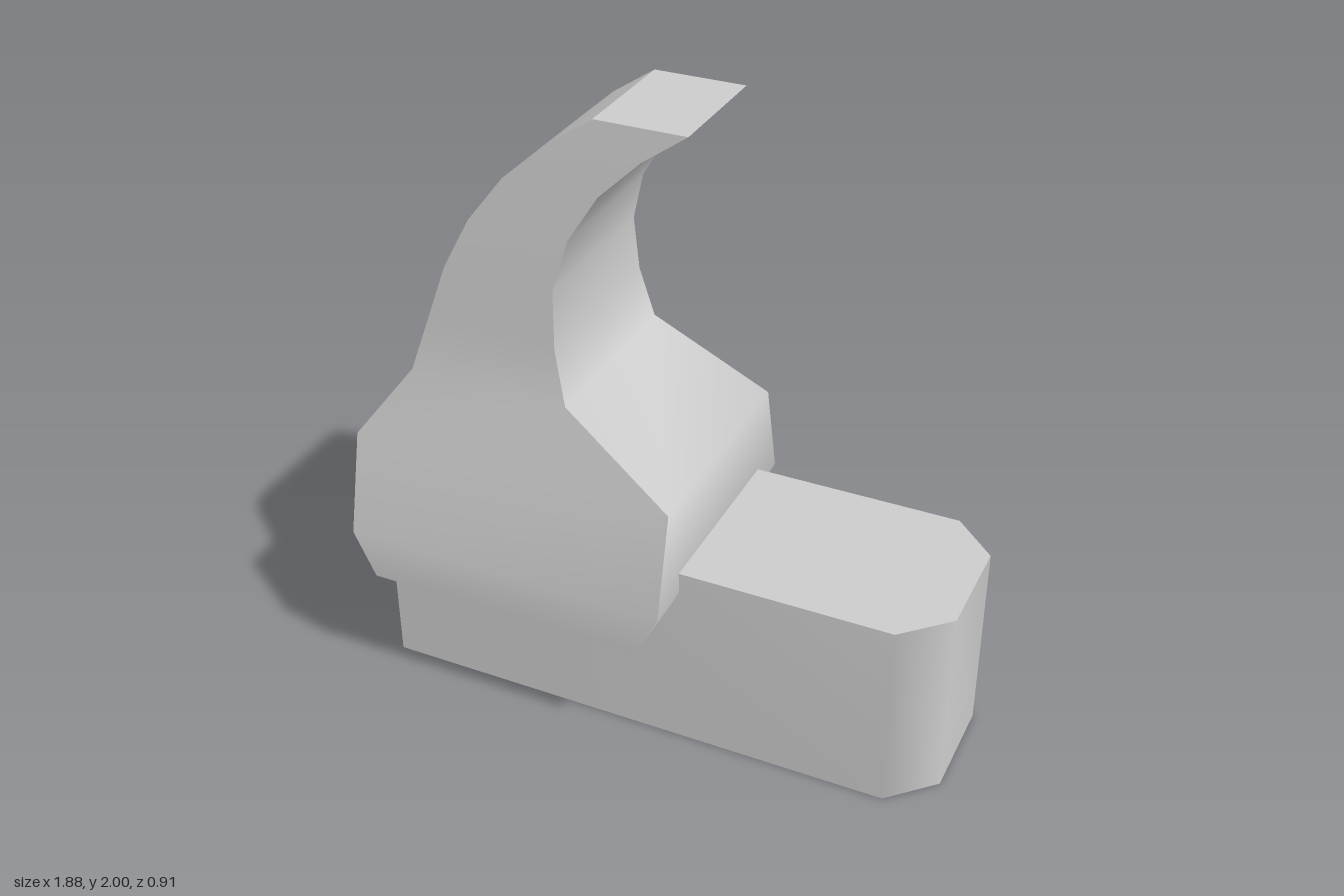
import * as THREE from 'three';

const grey = new THREE.MeshStandardMaterial({ color: 0xcccccc, side: THREE.DoubleSide });
grey.name = 'plain grey';

// Smoothly shaded band of quads between two matching polylines
function strip(name, a, b) {
  const positions = [], index = [];
  a.forEach((p, i) => {
    positions.push(...p, ...b[i]);
    if (i < a.length - 1) {
      const k = i * 2;
      index.push(k, k + 1, k + 3, k, k + 3, k + 2);
    }
  });
  const geometry = new THREE.BufferGeometry();
  geometry.setAttribute('position', new THREE.Float32BufferAttribute(positions, 3));
  geometry.setIndex(index);
  geometry.computeVertexNormals();
  const mesh = new THREE.Mesh(geometry, grey);
  mesh.name = name;
  return mesh;
}

// Base: hollow block, open underneath, with two chamfered corners
function createBase() {
  const base = new THREE.Group();
  base.name = 'base';
  const height = 0.64;
  const at = (y) => ([x, z]) => [x, y, z];
  const front = [[-0.905, 0.305], [0.8, 0.305], [0.94, 0.17]];
  const back = front.map(([x, z]) => [x, -z]);
  const side = [...front, ...[...back].reverse()];
  const end = [back[0], front[0]];
  base.add(
    strip('baseSides', side.map(at(height)), side.map(at(0))),
    strip('baseEnd', end.map(at(height)), end.map(at(0))),
    strip('baseTop', back.map(at(height)), front.map(at(height)))
  );
  return base;
}

// Hook: rectangular sections stacked upward, tapering in depth
function createHook() {
  const hook = new THREE.Group();
  hook.name = 'hook';
  // y, outer x, inner x, half depth
  const sections = [
    [0.42, -0.87, 0.05, 0.455],
    [0.57, -0.94, 0.12, 0.455],
    [0.895, -0.94, 0.12, 0.375],
    [1.13, -0.765, -0.245, 0.302],
    [1.3, -0.71, -0.285, 0.28],
    [1.48, -0.65, -0.293, 0.262],
    [1.64, -0.57, -0.25, 0.243],
    [1.785, -0.46, -0.16, 0.224],
    [1.905, -0.325, -0.035, 0.208],
    [2.0, -0.185, 0.1, 0.195]
  ];
  // The four long edges, going round from the outer front edge
  const edges = [
    sections.map(([y, l, , d]) => [l, y, d]),
    sections.map(([y, , r, d]) => [r, y, d]),
    sections.map(([y, , r, d]) => [r, y, -d]),
    sections.map(([y, l, , d]) => [l, y, -d])
  ];
  ['hookFront', 'hookInnerCurve', 'hookBack', 'hookOuterCurve'].forEach((name, i) =>
    hook.add(strip(name, edges[i], edges[(i + 1) % 4])));

  // Flat tip and underside
  const [tip, foot] = [sections.length - 1, 0].map((i) => edges.map((e) => e[i]));
  hook.add(
    strip('hookTip', [tip[0], tip[3]], [tip[1], tip[2]]),
    strip('hookUnderside', [foot[3], foot[0]], [foot[2], foot[1]])
  );
  return hook;
}

export function createModel() {
  const model = new THREE.Group();
  model.name = 'hookOnBase';
  model.add(createBase(), createHook());
  return model;
}
